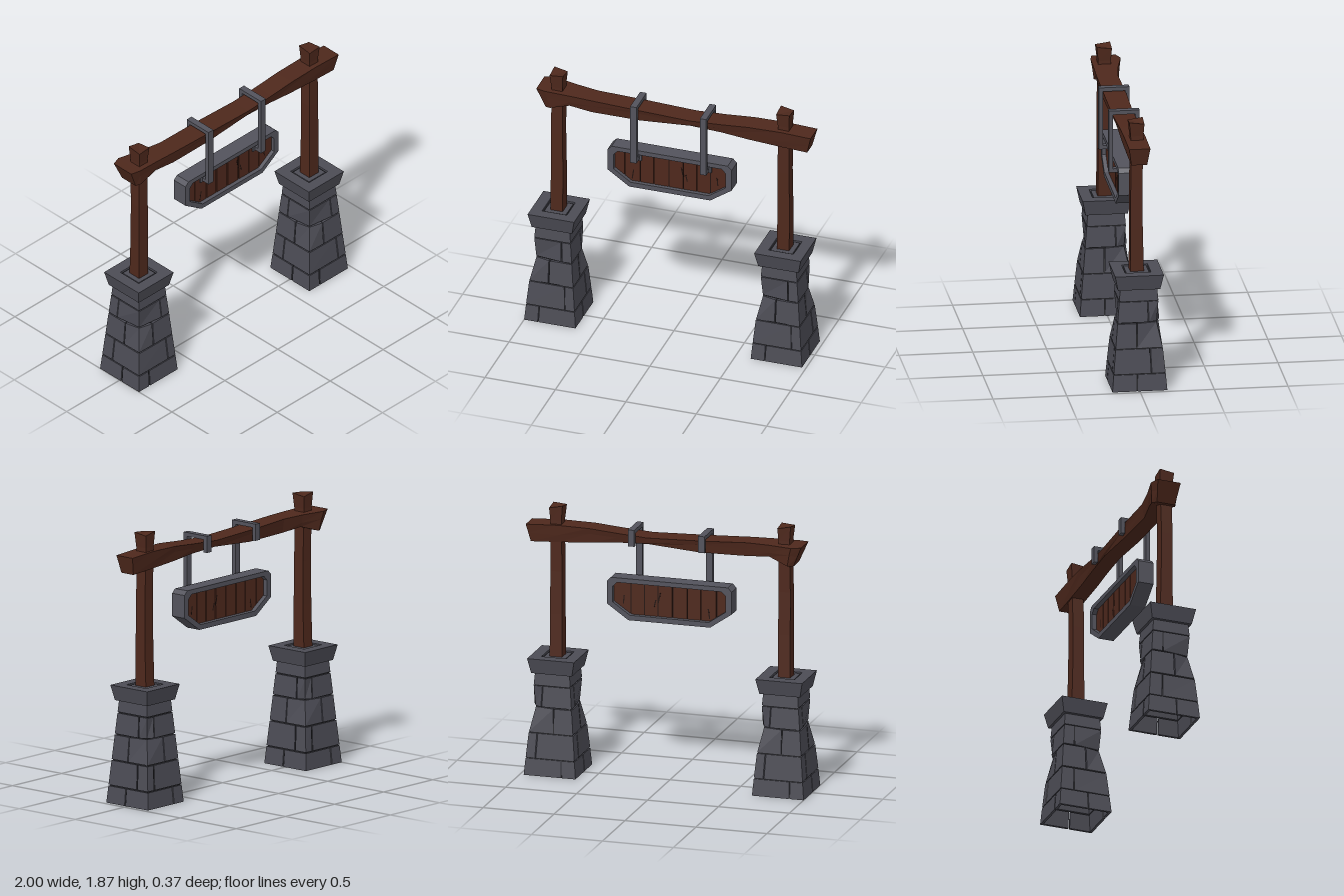
import * as THREE from 'three';

const mat = (color, side = THREE.FrontSide) =>
  new THREE.MeshStandardMaterial({ color, side, flatShading: true, roughness: 0.9 });
const stone = mat(0x4c4c55);
const stoneDark = mat(0x26262a);
const wood = mat(0x4e281c);
const woodDark = mat(0x23130f);
const iron = mat(0x53535c);

function mesh(name, geometry, material, parent) {
  const m = new THREE.Mesh(geometry, material);
  m.name = name;
  parent.add(m);
  return m;
}

// Moves every vertex by a rule
function warp(geometry, rule) {
  const p = geometry.attributes.position;
  const v = new THREE.Vector3();
  for (let i = 0; i < p.count; i++) {
    rule(v.fromBufferAttribute(p, i));
    p.setXYZ(i, v.x, v.y, v.z);
  }
  geometry.computeVertexNormals();
  return geometry;
}

function box(name, x0, x1, y0, y1, z0, z1, material, parent) {
  const m = mesh(name, new THREE.BoxGeometry(x1 - x0, y1 - y0, z1 - z0), material, parent);
  m.position.set((x0 + x1) / 2, (y0 + y1) / 2, (z0 + z1) / 2);
  return m;
}

// Pillar: courses of stone around a dark mortar shell, open underneath
const levels = [0, 0.12, 0.295, 0.47, 0.62, 0.71];
const joints = [[-0.45, -0.1], [0.6, 0.45], [-0.12, -0.1], [0.5, 0.45], [null, null]];
const halfWidth = (y) => 0.182 - 0.086 * y;

// Maps a unit square position to the tapered pillar, with two chipped corners
function pillarPoint(v, inset) {
  const h = halfWidth(v.y) - inset;
  const chipped = v.x * v.z < -0.9;
  const pull = chipped ? 0.028 * Math.max(0, 1 - Math.abs(v.y - 0.45) / 0.17) : 0;
  v.x *= h - pull;
  v.z *= h + 0.004 - pull;
}

function stonePanel(u0, u1, y0, y1, side) {
  const g = new THREE.BoxGeometry(1, 1, 1);
  const turn = new THREE.Vector3(0, 1, 0);
  return warp(g, (v) => {
    const inset = v.z > 0 ? 0 : 0.018;
    const u = v.x < 0 ? u0 : u1;
    v.set(u, v.y < 0 ? y0 : y1, 1).applyAxisAngle(turn, side * Math.PI / 2);
    pillarPoint(v, inset);
  });
}

function makePillar(x) {
  const pillar = new THREE.Group();
  pillar.name = 'stonePillar';
  pillar.position.x = x;

  const shell = new THREE.CylinderGeometry(Math.SQRT2, Math.SQRT2, 5, 4, 5, true).rotateY(Math.PI / 4);
  mesh('mortar', warp(shell, (v) => {
    v.y = levels[Math.round(v.y + 2.5)];
    pillarPoint(v, 0.008);
  }), stoneDark, pillar);

  const gap = 0.004;
  for (let c = 0; c < joints.length; c++) {
    const y0 = levels[c] + (c ? gap : 0), y1 = levels[c + 1] - gap;
    for (let side = 0; side < 4; side++) {
      let j = joints[c][side % 2];
      if (j === null) {
        mesh('stoneBlock', stonePanel(-1, 1, y0, y1, side), stone, pillar);
        continue;
      }
      if (side > 1) j = -j;
      mesh('stoneBlock', stonePanel(-1, j - 0.025, y0, y1, side), stone, pillar);
      mesh('stoneBlock', stonePanel(j + 0.025, 1, y0, y1, side), stone, pillar);
    }
  }

  // Flared cap with a recessed seat for the post
  for (let side = 0; side < 4; side++) {
    const rim = warp(new THREE.BoxGeometry(2, 1, 1), (v) => {
      const top = v.y > 0;
      const h = v.z > 0 ? (top ? 0.165 : 0.143) : 0.088;
      v.set(v.x * h, top ? 0.81 : 0.705, h);
    });
    mesh('capStone', rim, stone, pillar).rotation.y = side * Math.PI / 2;
  }
  box('capGroove', -0.09, 0.09, 0.71, 0.795, -0.09, 0.09, stoneDark, pillar);
  box('capSeat', -0.077, 0.077, 0.72, 0.804, -0.077, 0.077, stone, pillar);
  return pillar;
}

// Post: [height, half width, half depth, x shift, z shift]
const postRings = [
  [0.79, 0.043, 0.046, 0, 0], [1.1, 0.043, 0.041, 0.002, 0.003], [1.4, 0.041, 0.039, 0, 0.004],
  [1.62, 0.039, 0.041, 0.001, 0], [1.76, 0.039, 0.043, 0.001, 0], [1.855, 0.047, 0.051, 0, 0.002],
];

function makePost(x) {
  const g = new THREE.BoxGeometry(2, 5, 2, 1, 5, 1);
  const post = new THREE.Group();
  post.name = 'post';
  post.position.x = x;
  mesh('postTimber', warp(g, (v) => {
    const i = Math.round(v.y + 2.5);
    const [y, w, d, sx, sz] = postRings[i];
    const tilt = i === 5 ? 0.007 * v.x * v.z - 0.003 * v.x : 0;
    v.set(v.x * w + sx, y + tilt, v.z * d + sz);
  }), wood, post);
  return post;
}

// Beam: [x at top, x at bottom, top, bottom, back, front]
const beamRings = [
  [-0.955, -0.895, 1.74, 1.60, -0.10, 0.065], [-0.89, -0.86, 1.738, 1.605, -0.125, 0.08],
  [-0.72, -0.72, 1.735, 1.65, -0.085, 0.082], [-0.56, -0.56, 1.73, 1.632, -0.06, 0.085],
  [-0.22, -0.22, 1.715, 1.63, -0.07, 0.082], [0.14, 0.14, 1.702, 1.655, -0.068, 0.08],
  [0.36, 0.36, 1.715, 1.645, -0.065, 0.08], [0.55, 0.55, 1.73, 1.626, -0.065, 0.08],
  [0.78, 0.78, 1.733, 1.61, -0.066, 0.078], [0.995, 0.965, 1.722, 1.6, -0.068, 0.075],
];

function makeBeam() {
  const n = beamRings.length - 1;
  const g = new THREE.BoxGeometry(n, 2, 2, n, 2, 1);
  return warp(g, (v) => {
    const i = Math.round(v.x + n / 2);
    const [xt, xb, top, bottom, back, front] = beamRings[i];
    const t = (v.y + 1) / 2;
    const wave = v.y === 0 ? 0.015 * Math.sin(i * 2.1) : 0;
    const narrow = 0.018 * (1 - t);
    v.set(xb + (xt - xb) * t, bottom + (top - bottom) * t + wave,
      v.z > 0 ? front - narrow : back + narrow);
  });
}

// Sign outline: half width, top, bottom, and corner cuts
function signOutline(w, top, bottom, cut, flat, shoulder, Kind) {
  return new Kind([
    [-flat, bottom], [flat, bottom], [w, shoulder], [w, top - cut],
    [w - cut, top], [cut - w, top], [-w, top - cut], [-w, shoulder],
  ].map(([x, y]) => new THREE.Vector2(x, y)));
}

function makeSign() {
  const sign = new THREE.Group();
  sign.name = 'hangingSign';
  sign.position.x = -0.007;
  const extrude = (shape, z0, z1) =>
    new THREE.ExtrudeGeometry(shape, { depth: z1 - z0, bevelEnabled: false }).translate(0, 0, z0);

  const outer = signOutline(0.44, 1.395, 1.105, 0.028, 0.288, 1.21, THREE.Shape);
  outer.holes.push(signOutline(0.398, 1.363, 1.14, 0.03, 0.277, 1.223, THREE.Path));
  mesh('signFrame', extrude(outer, -0.04, 0.07), iron, sign);
  mesh('boardGaps', extrude(signOutline(0.415, 1.375, 1.125, 0.03, 0.28, 1.215, THREE.Shape), 0, 0.034), woodDark, sign);

  // Vertical boards with their feet cut to the slope of the frame
  const edges = [-0.412, -0.325, -0.215, -0.12, -0.015, 0.09, 0.185, 0.28, 0.412];
  const foot = (x) => 1.122 + Math.max(0, Math.abs(x) - 0.28) * 0.69;
  for (let i = 0; i < edges.length - 1; i++) {
    const a = edges[i] + 0.004, b = edges[i + 1] - 0.004;
    const board = new THREE.Shape([[a, foot(a)], [b, foot(b)], [b, 1.372], [a, 1.372]]
      .map(([x, y]) => new THREE.Vector2(x, y)));
    mesh('signBoard', extrude(board, -0.008, 0.042), wood, sign);
  }
  // Short cracks in the boards
  for (const [x, y, h, r] of [[-0.27, 1.19, 0.07, -0.15], [0.08, 1.27, 0.07, 0.2], [0.11, 1.23, 0.05, 0.25], [0.33, 1.24, 0.06, 0.1]]) {
    const crack = box('crack', x - 0.004, x + 0.004, y - h / 2, y + h / 2, -0.0085, 0.0425, woodDark, sign);
    crack.rotation.z = r;
  }
  return sign;
}

// Iron strap hooked over the beam and clamped to the sign
function makeHanger(x) {
  const hanger = new THREE.Group();
  hanger.name = 'hanger';
  hanger.position.x = x;
  const w = 0.0225;
  box('strapFront', -w, w, 1.32, 1.755, 0.085, 0.114, iron, hanger);
  box('strapTop', -w, w, 1.728, 1.755, -0.094, 0.085, iron, hanger);
  box('strapBack', -w, w, 1.64, 1.728, -0.094, -0.066, iron, hanger);
  box('strapFoot', -w, w, 1.32, 1.346, 0.03, 0.085, iron, hanger);
  box('strapPlate', -0.038, 0.038, 1.31, 1.352, 0.03, 0.055, iron, hanger);
  return hanger;
}

export function createModel() {
  const model = new THREE.Group();
  model.name = 'signGate';
  for (const x of [-0.818, 0.79]) model.add(makePillar(x), makePost(x));
  mesh('crossBeam', makeBeam(), wood, model);
  model.add(makeSign());
  for (const x of [-0.25, 0.245]) model.add(makeHanger(x));
  return model;
}
